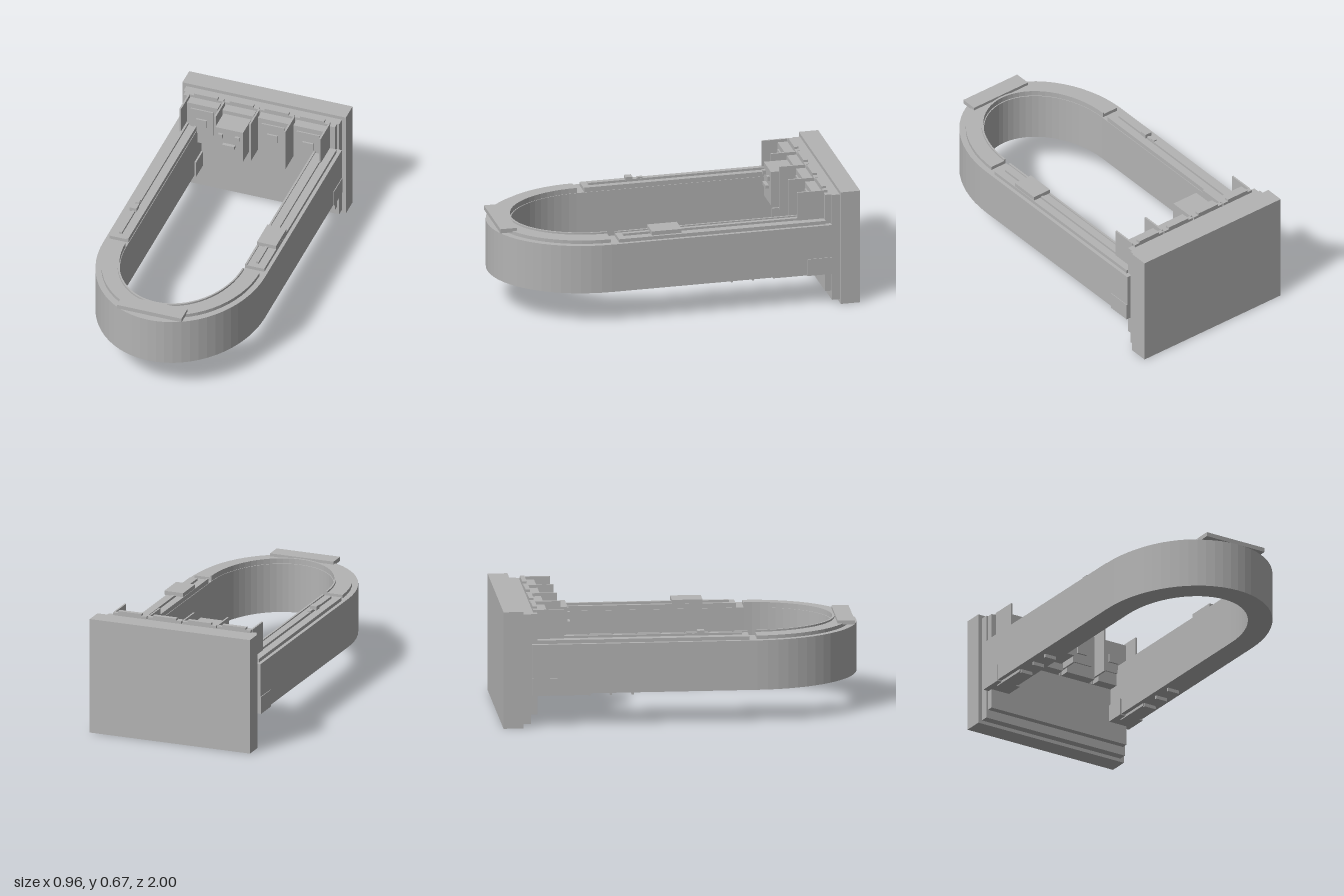
import * as THREE from 'three';

export function createModel() {
  const model = new THREE.Group();
  const grey = new THREE.MeshStandardMaterial({ color: 0xb4b4b4 });
  grey.name = 'plain grey';

  const add = (name, geometry) => {
    const mesh = new THREE.Mesh(geometry, grey);
    mesh.name = name;
    model.add(mesh);
    return mesh;
  };
  // Box from its minimum and maximum on each axis
  const box = (name, x0, x1, y0, y1, z0, z1) => {
    const g = new THREE.BoxGeometry(x1 - x0, y1 - y0, z1 - z0);
    g.translate((x0 + x1) / 2, (y0 + y1) / 2, (z0 + z1) / 2);
    return add(name, g);
  };
  const bothSides = (name, x0, x1, ...rest) => {
    box(name + 'Left', x0, x1, ...rest);
    box(name + 'Right', -x1, -x0, ...rest);
  };

  // Flat band between two half ellipses, with straight legs back to zBack
  const BEND = 0.41;
  const bend = (name, outer, inner, y0, y1, zBack) => {
    const steps = 32;
    const arc = ([rx, rz]) => Array.from({ length: steps + 1 }, (_, i) => {
      const a = (Math.PI * i) / steps;
      return new THREE.Vector2(rx * Math.cos(a), -BEND - rz * Math.sin(a));
    });
    const pts = [
      new THREE.Vector2(outer[0], -zBack), ...arc(outer), new THREE.Vector2(-outer[0], -zBack),
      new THREE.Vector2(-inner[0], -zBack), ...arc(inner).reverse(), new THREE.Vector2(inner[0], -zBack),
    ];
    const g = new THREE.ExtrudeGeometry(new THREE.Shape(pts), { depth: y1 - y0, bevelEnabled: false });
    g.rotateX(-Math.PI / 2);
    g.translate(0, y0, 0);
    return add(name, g);
  };

  // Stepped wall plate
  box('wallPlate', -0.48, 0.48, 0, 0.66, -1, -0.89);
  box('wallPlateStep', -0.457, 0.457, 0.02, 0.64, -0.89, -0.845);
  box('wallPlateFace', -0.445, 0.445, 0.07, 0.64, -0.845, -0.81);

  // U-shaped body and its top trim
  bend('loopBody', [0.475, 0.59], [0.34, 0.45], 0.19, 0.47, -0.84);
  bend('bendCover', [0.443, 0.55], [0.352, 0.468], 0.47, 0.49, 0.408);
  bend('bendInnerRail', [0.352, 0.468], [0.343, 0.456], 0.47, 0.5, 0.408);
  box('frontPlate', -0.19, 0.19, 0.483, 0.507, 0.88, 0.975);

  // Arm covers and rails
  bothSides('armCover', 0.35, 0.455, 0.47, 0.49, -0.81, 0.365);
  bothSides('armRail', 0.393, 0.41, 0.49, 0.503, -0.78, 0.33);
  bothSides('armInnerRail', 0.343, 0.354, 0.47, 0.497, -0.8, 0.365);
  box('armSaddle', 0.345, 0.458, 0.497, 0.52, 0.01, 0.18);
  box('armSlider', -0.425, -0.385, 0.497, 0.52, 0.08, 0.12);
  box('armStop', -0.415, -0.395, 0.497, 0.51, 0.02, 0.05);

  // Brackets at the wall, and underside fittings
  bothSides('bracket', 0.33, 0.479, 0.182, 0.28, -0.84, -0.7);
  bothSides('undersidePlate', 0.365, 0.45, 0.175, 0.19, -0.75, -0.52);
  for (const z of [-0.28, -0.4, -0.52]) {
    bothSides('undersideBar', 0.37, 0.44, 0.17, 0.19, z - 0.006, z + 0.006);
  }

  // Row of four bays, each with a stepped panel
  for (let i = 0; i < 4; i++) {
    const x = -0.312 + i * 0.208;
    box('bayBacking', x - 0.1, x + 0.1, 0.38, 0.655, -0.83, -0.805);
    box('bayCap', x - 0.07, x + 0.07, 0.645, 0.667, -0.83, -0.805);
    box('bayPanel', x - 0.09, x + 0.09, 0.38, 0.64, -0.81, -0.75);
    box('bayPad', x - 0.067, x + 0.067, 0.45, 0.61, -0.75, -0.742);
    box('bayButton', x - 0.031, x + 0.031, 0.505, 0.552, -0.742, -0.732);
  }
  for (let i = 0; i < 5; i++) {
    const x = (i - 2) * 0.205;
    box('bayDivider', x - 0.005, x + 0.005, 0.4, 0.655, -0.81, -0.66);
  }

  // Block with eyes and mouth in the second bay
  box('head', -0.188, -0.025, 0.42, 0.617, -0.75, -0.618);
  box('eyeLeft', -0.07, -0.045, 0.558, 0.583, -0.618, -0.603);
  box('eyeRight', -0.168, -0.143, 0.558, 0.583, -0.618, -0.603);
  box('mouth', -0.141, -0.07, 0.503, 0.521, -0.618, -0.598);

  return model;
}
